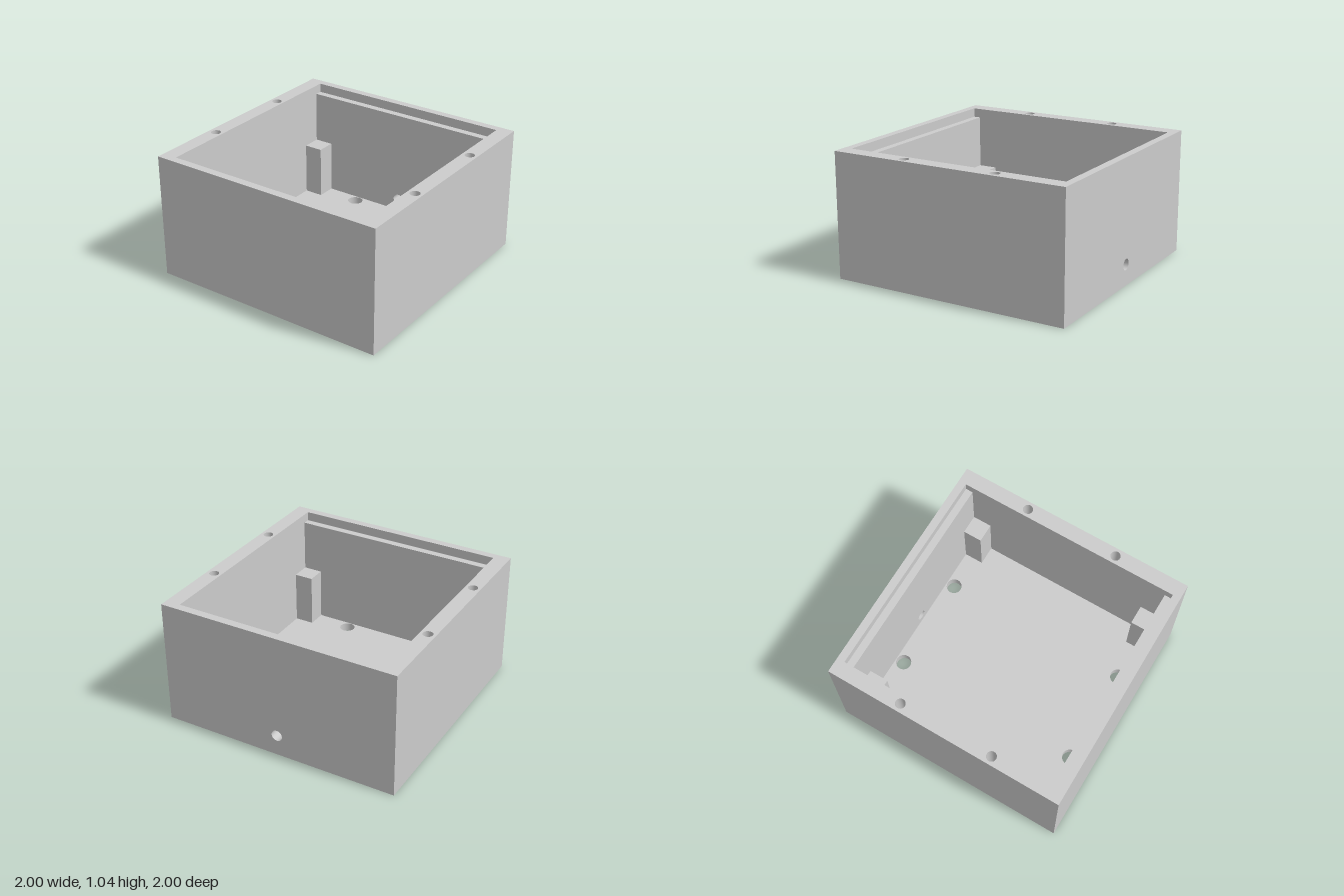
import * as THREE from 'three';

const H = 1.036;              // overall height
const FLOOR = 0.075;          // floor thickness
const LEDGE = H - 0.076;      // height of the lid ledges
const IN = 0.875;             // inner half width of the cavity
const RIM = 0.935;            // inner half width above the ledges
const POST = 0.16, POST_TOP = 0.52;
const SEG = 32;
const Q = Math.PI / 2;

const FLOOR_HOLE = 0.064, SCREW = 0.04, SCREW_DEPTH = 0.3, CABLE = 0.046, CABLE_Y = 0.175;

export function createModel() {
  const model = new THREE.Group();
  model.name = 'enclosureBox';
  const material = new THREE.MeshStandardMaterial({ color: 0xcccccc });
  const lining = new THREE.MeshStandardMaterial({ color: 0xcccccc, side: THREE.BackSide });

  function add(name, geometry, [x, y, z], [rx, ry, rz] = [0, 0, 0], mat = material) {
    const mesh = new THREE.Mesh(geometry, mat);
    mesh.name = name;
    mesh.position.set(x, y, z);
    mesh.rotation.set(rx, ry, rz);
    model.add(mesh);
  }

  // Flat outline with round holes given as [x, y, radius]
  function plate(points, holes = []) {
    const shape = new THREE.Shape(points.map(([x, y]) => new THREE.Vector2(x, y)));
    for (const [x, y, r] of holes) {
      shape.holes.push(new THREE.Path().absarc(x, y, r, 0, Math.PI * 2, true));
    }
    return shape;
  }
  const rect = (w, y0, y1) => [[-w, y0], [w, y0], [w, y1], [-w, y1]];
  const face = (shape) => new THREE.ShapeGeometry(shape, SEG / 2);
  const tube = (r, length) => new THREE.CylinderGeometry(r, r, length, SEG, 1, true);
  const four = (x, z) => [[x, z], [x, -z], [-x, z], [-x, -z]];

  const floorHoles = four(0.805, 0.404);
  const screwHoles = four(0.396, 0.937);
  const UP = [-Q, 0, 0], DOWN = [Q, 0, 0];

  // Underside and inner floor, both pierced by the mounting holes
  const pierced = floorHoles.map(([x, z]) => [x, z, FLOOR_HOLE]);
  add('underside', face(plate(rect(1, -1, 1), pierced)), [0, 0, 0], DOWN);
  add('innerFloor', face(plate(rect(IN, -IN, IN), pierced)), [0, FLOOR, 0], UP);
  for (const [x, z] of floorHoles) {
    add('mountingHole', tube(FLOOR_HOLE, FLOOR), [x, FLOOR / 2, z], [0, 0, 0], lining);
  }

  // Top rim with blind screw holes
  const rim = plate(rect(1, -1, 1), screwHoles.map(([x, z]) => [x, z, SCREW]));
  rim.holes.push(new THREE.Path(
    [[-RIM, -IN], [-RIM, IN], [RIM, IN], [RIM, -IN]].map(([x, y]) => new THREE.Vector2(x, y))));
  add('topRim', face(rim), [0, H, 0], UP);
  for (const [x, z] of screwHoles) {
    add('screwHole', tube(SCREW, SCREW_DEPTH), [x, H - SCREW_DEPTH / 2, z], [0, 0, 0], lining);
    add('screwHoleBottom', new THREE.CircleGeometry(SCREW, SEG), [x, H - SCREW_DEPTH, z], UP);
  }

  // Front and back walls: plain outside, stepped inside around the ledges
  const stepped = plate([[-IN, FLOOR], [IN, FLOOR], [IN, LEDGE], [RIM, LEDGE],
    [RIM, H], [-RIM, H], [-RIM, LEDGE], [-IN, LEDGE]]);
  for (const [side, s] of [['front', 1], ['back', -1]]) {
    const out = [0, s > 0 ? 0 : Math.PI, 0], into = [0, s > 0 ? Math.PI : 0, 0];
    add(side + 'WallOuter', face(plate(rect(1, 0, H))), [0, 0, s], out);
    add(side + 'WallInner', face(stepped), [0, 0, s * IN], into);
  }

  // Side walls with lid ledges; the left one has the cable hole
  for (const [side, s] of [['left', 1], ['right', -1]]) {
    const out = [0, s * Q, 0], into = [0, -s * Q, 0];
    const holes = s > 0 ? [[0, CABLE_Y, CABLE]] : [];
    add(side + 'WallOuter', face(plate(rect(1, 0, H), holes)), [s, 0, 0], out);
    add(side + 'WallInner', face(plate(rect(IN, FLOOR, LEDGE), holes)), [s * IN, 0, 0], into);
    add(side + 'LedgeRiser', face(plate(rect(IN, LEDGE, H))), [s * RIM, 0, 0], into);
    add(side + 'Ledge', new THREE.PlaneGeometry(RIM - IN, 2 * IN),
      [s * (RIM + IN) / 2, LEDGE, 0], UP);
  }
  add('cableHole', tube(CABLE, 1 - IN), [(1 + IN) / 2, CABLE_Y, 0], [0, 0, Q], lining);

  // Square support posts in the corners
  const p = IN - POST / 2;
  for (const [x, z] of four(p, p)) {
    add('cornerPost', new THREE.BoxGeometry(POST, POST_TOP - FLOOR, POST),
      [x, (POST_TOP + FLOOR) / 2, z]);
  }
  return model;
}
